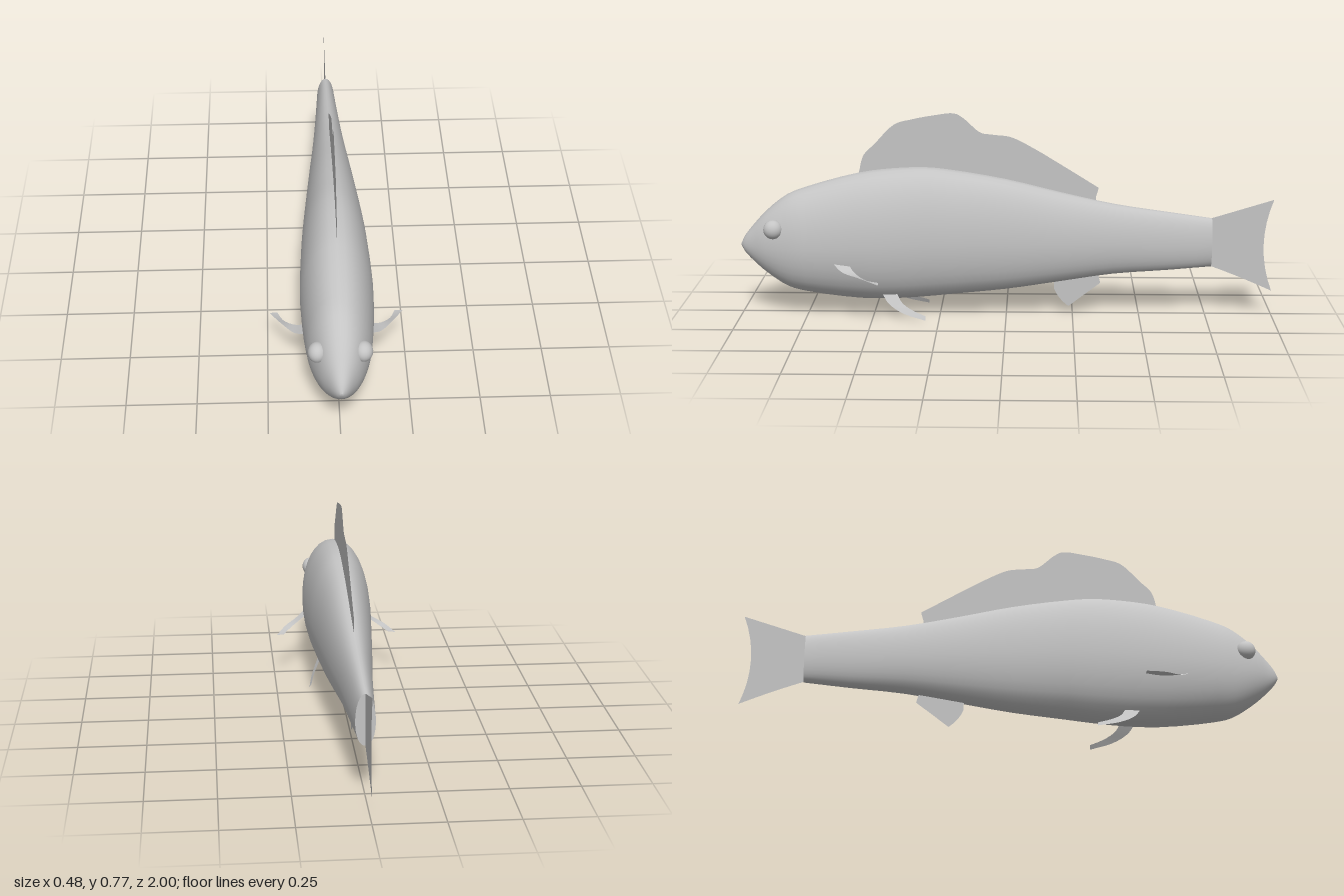
import * as THREE from 'three';

const skin = new THREE.MeshStandardMaterial({ color: 0xc4c4c4, side: THREE.DoubleSide });
skin.name = 'plain grey';

function add(group, name, geometry) {
  const mesh = new THREE.Mesh(geometry, skin);
  mesh.name = name;
  group.add(mesh);
  return mesh;
}

function meshFrom(positions, index) {
  const g = new THREE.BufferGeometry();
  g.setAttribute('position', new THREE.Float32BufferAttribute(positions, 3));
  g.setIndex(index);
  g.computeVertexNormals();
  return g;
}

// Body stations from nose to tail: z, back height, belly height, half width
const STATIONS = [
  [1.0, 0.272, 0.262, 0.004], [0.985, 0.302, 0.237, 0.022], [0.95, 0.346, 0.2, 0.046],
  [0.9, 0.4, 0.157, 0.074], [0.82, 0.462, 0.106, 0.102], [0.75, 0.49, 0.088, 0.116],
  [0.55, 0.545, 0.063, 0.13], [0.42, 0.562, 0.062, 0.128], [0.3, 0.566, 0.07, 0.122],
  [0.2, 0.556, 0.08, 0.115], [0, 0.522, 0.1, 0.098], [-0.2, 0.474, 0.13, 0.08],
  [-0.4, 0.43, 0.16, 0.061], [-0.6, 0.4, 0.175, 0.046], [-0.77, 0.376, 0.19, 0.035],
];
const SIDES = 32;

// One egg-shaped ring, starting at the back and going round by the +x side
function ring([z, top, bottom, width]) {
  const mid = bottom + (top - bottom) * 0.46;
  const points = [];
  for (let j = 0; j < SIDES; j++) {
    const a = (j / SIDES) * Math.PI * 2;
    const c = Math.cos(a), s = Math.sin(a);
    const full = c < 0 ? 0.88 : 0.97;
    points.push(Math.sign(s) * Math.pow(Math.abs(s), full) * width,
      mid + c * (c > 0 ? top - mid : mid - bottom), z);
  }
  return points;
}

function bodyGeometry() {
  const side = new THREE.CatmullRomCurve3(STATIONS.map(([z, t, b]) => new THREE.Vector3(z, t, b)));
  const plan = new THREE.CatmullRomCurve3(STATIONS.map(([z, , , w]) => new THREE.Vector3(z, w, 0)));
  const steps = (STATIONS.length - 1) * 3;
  const positions = [], index = [];
  for (let i = 0; i <= steps; i++) {
    const p = side.getPoint(i / steps), q = plan.getPoint(i / steps);
    positions.push(...ring([p.x, p.y, p.z, q.y]));
  }
  for (let i = 0; i < steps; i++) {
    for (let j = 0; j < SIDES; j++) {
      const a = i * SIDES + j, b = i * SIDES + (j + 1) % SIDES;
      index.push(a, b, a + SIDES, b, b + SIDES, a + SIDES);
    }
  }
  // Close the tip of the nose
  for (let j = 1; j < SIDES - 1; j++) index.push(0, j + 1, j);
  return meshFrom(positions, index);
}

// Flat end where the tail fin joins
function endCapGeometry() {
  const index = [];
  for (let j = 1; j < SIDES - 1; j++) index.push(0, j, j + 1);
  return meshFrom(ring(STATIONS[STATIONS.length - 1]), index);
}

// Flat fin on the centre plane, outlined in (z, y)
function flatFin(shape) {
  return new THREE.ShapeGeometry(shape, 8).rotateY(-Math.PI / 2);
}

// Curved fin stretched between a leading and a trailing edge
function stripFin(lead, trail, sign) {
  const curves = [lead, trail].map((pts) => new THREE.CatmullRomCurve3(
    pts.map(([x, y, z]) => new THREE.Vector3(x * sign, y, z))));
  const n = 10, positions = [], index = [];
  for (let i = 0; i <= n; i++) {
    for (const c of curves) positions.push(...c.getPoint(i / n).toArray());
    if (i < n) index.push(2 * i, 2 * i + 1, 2 * i + 2, 2 * i + 1, 2 * i + 3, 2 * i + 2);
  }
  return meshFrom(positions, index);
}

export function createModel() {
  const fish = new THREE.Group();
  fish.name = 'fish';

  add(fish, 'body', bodyGeometry());
  add(fish, 'bodyEnd', endCapGeometry());

  // Dorsal fin with a tall front lobe and a long sloping rear
  const dorsal = new THREE.Shape();
  dorsal.moveTo(0.55, 0.53);
  dorsal.lineTo(0.55, 0.55);
  dorsal.splineThru([[0.533, 0.61], [0.49, 0.655], [0.42, 0.725], [0.35, 0.747], [0.27, 0.762],
    [0.2, 0.77], [0.16, 0.752], [0.1, 0.7], [0.05, 0.69], [-0.02, 0.68], [-0.1, 0.64],
    [-0.2, 0.58], [-0.345, 0.49]].map(([z, y]) => new THREE.Vector2(z, y)));
  dorsal.lineTo(-0.335, 0.455);
  dorsal.lineTo(-0.335, 0.42);
  dorsal.lineTo(0, 0.5);
  dorsal.lineTo(0.3, 0.54);
  add(fish, 'dorsalFin', flatFin(dorsal));

  // Forked tail fin
  const tail = new THREE.Shape();
  tail.moveTo(-0.77, 0.376);
  tail.quadraticCurveTo(-0.88, 0.41, -1, 0.447);
  tail.quadraticCurveTo(-0.932, 0.27, -1, 0.095);
  tail.quadraticCurveTo(-0.88, 0.15, -0.77, 0.19);
  add(fish, 'tailFin', flatFin(tail));

  // Anal fin
  const anal = new THREE.Shape();
  anal.moveTo(-0.18, 0.15);
  anal.lineTo(-0.18, 0.1);
  anal.quadraticCurveTo(-0.195, 0.06, -0.235, 0.03);
  anal.quadraticCurveTo(-0.28, 0.065, -0.355, 0.122);
  anal.lineTo(-0.34, 0.18);
  add(fish, 'analFin', flatFin(anal));

  for (const [label, sign] of [['left', 1], ['right', -1]]) {
    const eye = add(fish, label + 'Eye', new THREE.SphereGeometry(0.036, 24, 16));
    eye.scale.x = 0.9;
    eye.position.set(0.078 * sign, 0.342, 0.868);

    add(fish, label + 'PectoralFin', stripFin(
      [[0.12, 0.222, 0.64], [0.155, 0.2, 0.605], [0.2, 0.19, 0.54], [0.24, 0.174, 0.465]],
      [[0.12, 0.215, 0.58], [0.15, 0.198, 0.56], [0.19, 0.18, 0.515], [0.212, 0.176, 0.465]], sign));

    add(fish, label + 'PelvicFin', stripFin(
      [[0.065, 0.095, 0.465], [0.085, 0.06, 0.44], [0.105, 0.028, 0.385], [0.121, 0.005, 0.3]],
      [[0.065, 0.095, 0.41], [0.083, 0.064, 0.39], [0.1, 0.039, 0.35], [0.112, 0.02, 0.3]], sign));
  }
  return fish;
}
